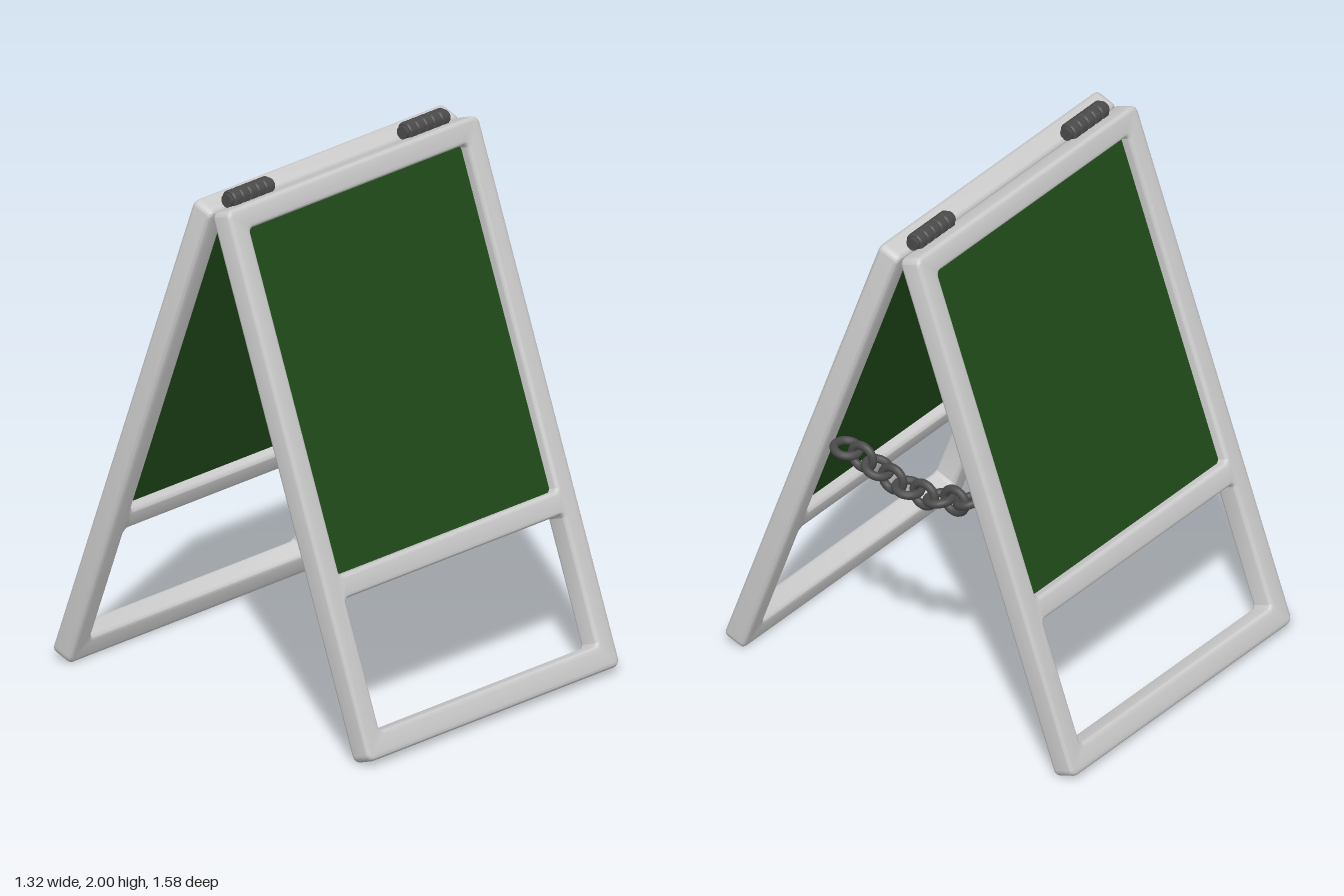
import * as THREE from 'three';
import { toCreasedNormals } from 'three/addons/utils/BufferGeometryUtils.js';

const grey = new THREE.MeshStandardMaterial({ color: 0xcccccc });
const green = new THREE.MeshStandardMaterial({ color: 0x1f4919 });
const iron = new THREE.MeshStandardMaterial({ color: 0x4a4a4a });

const LEAN = THREE.MathUtils.degToRad(20);
const PIVOT_Y = 1.94, LENGTH = 2.068, HALF_W = 0.658, THICK = 0.092;
const OPEN_W = 0.57; // half width of both openings

function add(parent, name, geometry, material) {
  const mesh = new THREE.Mesh(geometry, material);
  mesh.name = name;
  parent.add(mesh);
  return mesh;
}

// Rounded rectangle between two heights, centred on x
function roundedRect(path, w, y0, y1, r) {
  path.moveTo(-w + r, y0);
  path.lineTo(w - r, y0);
  path.absarc(w - r, y0 + r, r, -Math.PI / 2, 0);
  path.lineTo(w, y1 - r);
  path.absarc(w - r, y1 - r, r, 0, Math.PI / 2);
  path.lineTo(-w + r, y1);
  path.absarc(-w + r, y1 - r, r, Math.PI / 2, Math.PI);
  path.lineTo(-w, y0 + r);
  path.absarc(-w + r, y0 + r, r, Math.PI, Math.PI * 1.5);
  return path;
}

// One leaning side: frame with two openings, the upper one filled by a board
function createSide(name) {
  const side = new THREE.Group();
  side.name = name;
  const bevel = 0.016;
  const outline = roundedRect(new THREE.Shape(), HALF_W, -LENGTH, 0, 0.03);
  for (const [y0, y1] of [[-1.39, -0.088], [-1.972, -1.477]]) {
    outline.holes.push(roundedRect(new THREE.Path(), OPEN_W, y0, y1, 0.018));
  }
  const frame = new THREE.ExtrudeGeometry(outline, {
    depth: THICK - 2 * bevel, bevelThickness: bevel, bevelSize: bevel,
    bevelOffset: -bevel, bevelSegments: 4, curveSegments: 5,
  });
  frame.translate(0, 0, bevel);
  add(side, 'frame', toCreasedNormals(frame, 0.55), grey);

  const board = add(side, 'board', new THREE.BoxGeometry(1.17, 1.33, 0.008), green);
  board.position.set(0, -0.739, THICK / 2);

  side.position.y = PIVOT_Y;
  side.rotation.x = -LEAN;
  return side;
}

// Hinge barrel: five knuckles with chamfered ends, turned around one pin
function createHinge(name) {
  const hinge = new THREE.Group();
  hinge.name = name;
  const step = 0.041, r = 0.036, half = step / 2 - 0.001;
  const profile = [[0, -half], [r - 0.005, -half], [r, -half + 0.005],
    [r, half - 0.005], [r - 0.005, half], [0, half]].map(p => new THREE.Vector2(...p));
  const knuckle = toCreasedNormals(new THREE.LatheGeometry(profile, 24).rotateZ(-Math.PI / 2), 0.5);
  for (let i = -2; i <= 2; i++) {
    add(hinge, 'knuckle', knuckle, iron).position.x = i * step;
  }
  add(hinge, 'pin', new THREE.CylinderGeometry(0.025, 0.025, 0.23, 20).rotateZ(Math.PI / 2), iron);
  return hinge;
}

// Sagging chain of links turned alternately flat and upright
function createChain() {
  const chain = new THREE.Group();
  chain.name = 'chain';
  const curve = new THREE.CatmullRomCurve3([
    [0.275, 1.0], [0.2, 0.99], [0.07, 0.95], [0, 0.938],
    [-0.07, 0.936], [-0.21, 0.963], [-0.28, 0.99],
  ].map(([z, y]) => new THREE.Vector3(0, y, z)));
  const ring = new THREE.TorusGeometry(0.047, 0.016, 12, 28);
  const upright = ring.clone().rotateY(Math.PI / 2);
  const flat = ring.clone().rotateX(Math.PI / 2);
  const count = 9;
  for (let i = 0; i < count; i++) {
    const link = add(chain, 'chainLink', i % 2 ? upright : flat, iron);
    const t = curve.getTangentAt(i / (count - 1));
    link.position.copy(curve.getPointAt(i / (count - 1)));
    link.rotation.x = Math.atan2(t.y, -t.z);
  }
  chain.position.x = 0.6;
  return chain;
}

export function createModel() {
  const model = new THREE.Group();
  model.name = 'sandwichBoard';

  model.add(createSide('frontSide'));
  const back = new THREE.Group();
  back.name = 'backHalf';
  back.add(createSide('backSide'));
  back.rotation.y = Math.PI;
  model.add(back);

  for (const [name, s] of [['leftHinge', 1], ['rightHinge', -1]]) {
    const hinge = createHinge(name);
    hinge.position.set(s * 0.46, 1.964, 0);
    model.add(hinge);
  }

  model.add(createChain());
  return model;
}
